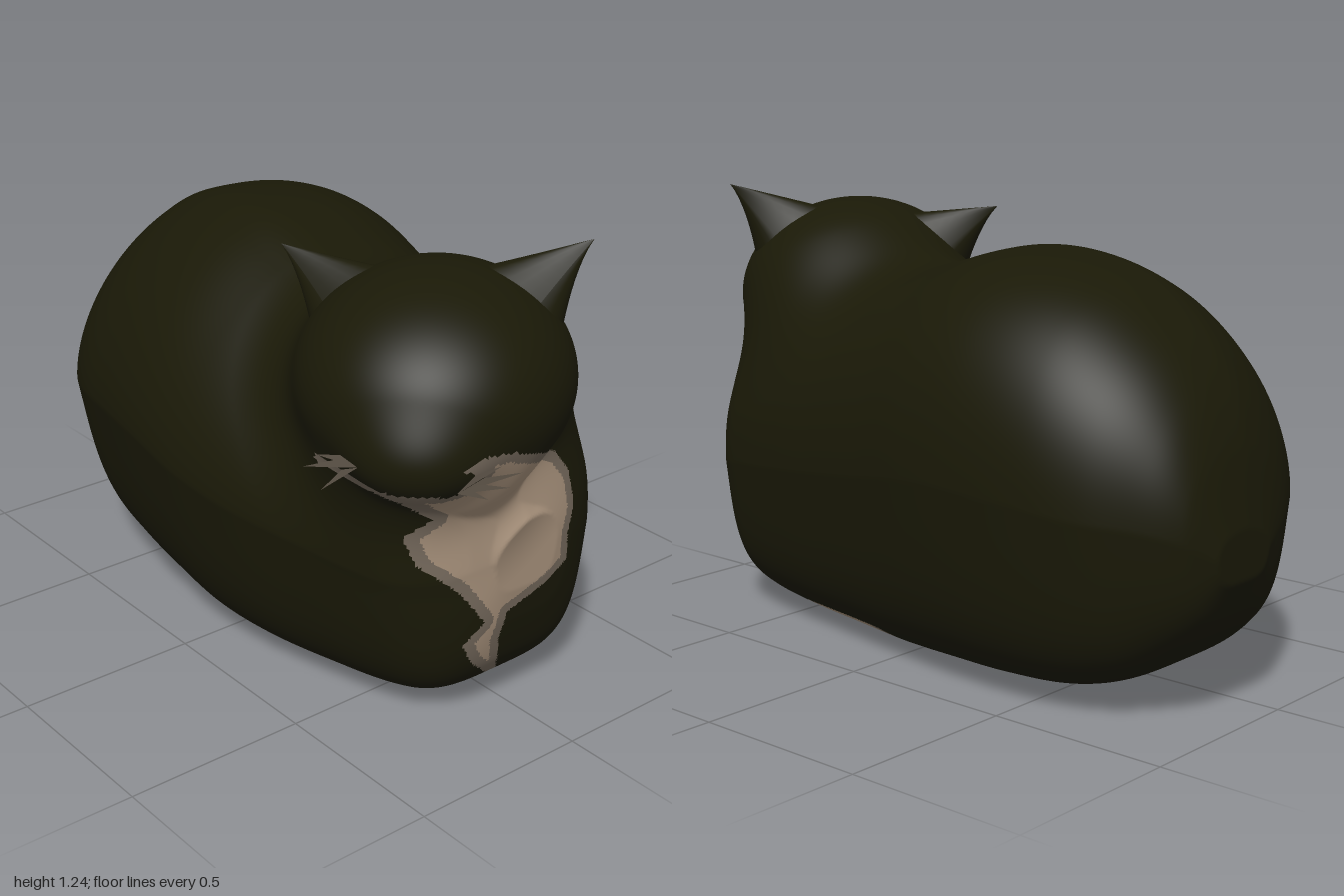
import * as THREE from 'three';
import { mergeVertices } from 'three/addons/utils/BufferGeometryUtils.js';

const mat = (name, color, side = THREE.FrontSide) => {
  const m = new THREE.MeshStandardMaterial({ color, side });
  m.name = name;
  return m;
};

// Body cross-sections along z: [z, xMin, xMax, yMin, yMax]
const SECTIONS = [
  [-1, 0.06, 0.28, 0.37, 0.5], [-0.95, -0.09, 0.36, 0.27, 0.7], [-0.87, -0.23, 0.43, 0.18, 0.85],
  [-0.75, -0.35, 0.5, 0.09, 0.97], [-0.6, -0.43, 0.54, 0.04, 1.06], [-0.4, -0.48, 0.55, 0.02, 1.11],
  [-0.2, -0.51, 0.53, 0.01, 1.11], [0, -0.52, 0.49, 0, 1.06], [0.2, -0.5, 0.45, 0.005, 1.0],
  [0.4, -0.45, 0.41, 0.015, 0.94], [0.6, -0.39, 0.36, 0.035, 0.87], [0.7, -0.34, 0.32, 0.07, 0.81],
  [0.77, -0.26, 0.25, 0.15, 0.74], [0.81, -0.19, 0.16, 0.28, 0.66], [0.825, -0.13, 0.09, 0.38, 0.58],
];
const HEAD = new THREE.Vector3(-0.12, 0.9, 0.58);
const TURN = -0.863;

// Smoothly interpolated section at z
function sectionAt(z) {
  const S = SECTIONS, n = S.length;
  let i = 0;
  while (i < n - 2 && z > S[i + 1][0]) i++;
  const a = S[i], b = S[i + 1], p = S[Math.max(i - 1, 0)], q = S[Math.min(i + 2, n - 1)];
  const h = b[0] - a[0], t = THREE.MathUtils.clamp((z - a[0]) / h, 0, 1);
  return [1, 2, 3, 4].map((k) => {
    const ma = ((b[k] - p[k]) / (b[0] - p[0])) * h, mb = ((q[k] - a[k]) / (q[0] - a[0])) * h;
    const t2 = t * t, t3 = t2 * t;
    return (2 * t3 - 3 * t2 + 1) * a[k] + (t3 - 2 * t2 + t) * ma + (3 * t2 - 2 * t3) * b[k] + (t3 - t2) * mb;
  });
}

// Section shape: square, tapering base; rounded back that slopes more on the right
function bodyField(p) {
  const z = THREE.MathUtils.clamp(p.z, -1, 0.825);
  const [x0, x1, y0, y1] = sectionAt(z);
  const w = (x1 - x0) / 2, h = (y1 - y0) / 2;
  const side = (p.x - (x0 + x1) / 2) / w, v = (p.y - (y0 + y1) / 2) / h;
  const taper = v < 0 ? 1 - (side < 0 ? 0.2 : 0.15) * Math.min(-v, 1) : 1;
  const u = Math.abs(side) / taper;
  const e = v < 0 ? 4.2 : THREE.MathUtils.lerp(1.75, 2.45, THREE.MathUtils.smoothstep(side, -0.3, 0.3));
  const r = Math.pow(Math.pow(u, e) + Math.pow(Math.abs(v), e), 1 / e);
  const d = (r - 1) * Math.min(w, h);
  return p.z === z ? d : Math.max(d, 0) + Math.abs(p.z - z);
}

// Ellipsoid in the turned head's own frame
function headField(p, y, forward, rx, ry, rz) {
  const dx = p.x - HEAD.x, dz = p.z - HEAD.z, c = Math.cos(TURN), s = Math.sin(TURN);
  const lx = c * dx - s * dz, lz = s * dx + c * dz - forward;
  return (Math.hypot(lx / rx, (p.y - y) / ry, lz / rz) - 1) * Math.min(rx, ry, rz);
}

function smoothMin(a, b, k) {
  const h = Math.max(k - Math.abs(a - b), 0) / k;
  return Math.min(a, b) - (h * h * k) / 4;
}

// Skull, muzzle and throat blended into the body
function field(p) {
  let head = smoothMin(headField(p, 0.905, 0, 0.35, 0.285, 0.39), headField(p, 0.82, 0.31, 0.12, 0.09, 0.1), 0.09);
  head = smoothMin(head, headField(p, 0.73, 0.16, 0.2, 0.15, 0.12), 0.08);
  return smoothMin(bodyField(p), head, 0.17);
}

// Chest and cheek patch outline, in x and y
const CHEST_PATCH = [
  [-0.48, 0.76], [-0.4, 0.765], [-0.34, 0.755], [-0.28, 0.77], [-0.265, 0.8], [-0.33, 0.83], [-0.28, 0.855],
  [-0.19, 0.845], [-0.05, 0.79], [0.08, 0.72], [0.14, 0.65], [0.16, 0.55], [0.135, 0.48], [0.14, 0.4], [0.05, 0.36],
  [-0.07, 0.32], [-0.08, 0.24], [-0.05, 0.14], [0.01, 0.05], [0.0, 0.0], [-0.11, 0.0], [-0.11, 0.06], [-0.05, 0.09],
  [-0.15, 0.18], [-0.19, 0.25], [-0.14, 0.31], [-0.22, 0.42], [-0.31, 0.5], [-0.34, 0.58], [-0.3, 0.64], [-0.38, 0.7],
];
// Belly patch outline, in x and z
const BELLY_PATCH = [
  [0.39, 0.28], [0.365, 0.14], [0.3, 0.01], [0.2, 0.1], [0.06, 0.19], [-0.15, 0.16], [-0.34, 0.14], [-0.36, 0.3],
  [-0.27, 0.46], [-0.12, 0.58], [0.0, 0.6], [0.1, 0.5], [0.25, 0.43], [0.36, 0.38],
];

// 0 = outside the outline, 1 = along its edge, 2 = well inside
function patchZone(outline, x, y, edge) {
  let inside = false, near = 1;
  outline.forEach(([ax, ay], i) => {
    const [bx, by] = outline[(i + 1) % outline.length];
    if (ay > y !== by > y && x < ax + ((y - ay) / (by - ay)) * (bx - ax)) inside = !inside;
    const ex = bx - ax, ey = by - ay;
    const t = THREE.MathUtils.clamp(((x - ax) * ex + (y - ay) * ey) / (ex * ex + ey * ey), 0, 1);
    near = Math.min(near, Math.hypot(x - ax - t * ex, y - ay - t * ey));
  });
  return !inside ? 0 : near < edge ? 1 : 2;
}

// 0 = dark coat, 1 = patch border, 2 = pale patch
function coatColour(x, y, z) {
  const belly = y < 0.065 ? patchZone(BELLY_PATCH, x, z, 0.025) : 0;
  return Math.max(belly, z > 0.5 ? patchZone(CHEST_PATCH, x, y, 0.028) : 0);
}

// Body and head as one skin, pushed out from a sphere and split by coat colour
function skinGeometry() {
  let geo = new THREE.IcosahedronGeometry(1, 82);
  geo.deleteAttribute('normal');
  geo.deleteAttribute('uv');
  geo = mergeVertices(geo, 1e-5);
  const pos = geo.attributes.position, origin = new THREE.Vector3(0, 0.52, 0);
  const dir = new THREE.Vector3(), p = new THREE.Vector3();
  for (let i = 0; i < pos.count; i++) {
    dir.fromBufferAttribute(pos, i);
    dir.set(dir.x * 0.5, dir.y * 0.55, dir.z * 0.95);
    let lo = 0, hi = 2.5;
    for (let k = 0; k < 20; k++) {
      const mid = (lo + hi) / 2;
      if (field(p.copy(dir).multiplyScalar(mid).add(origin)) < 0) lo = mid; else hi = mid;
    }
    pos.setXYZ(i, p.x, Math.max(p.y, 0), p.z);
  }
  const lists = [[], [], []], idx = geo.index.array;
  for (let i = 0; i < idx.length; i += 3) {
    const f = [idx[i], idx[i + 1], idx[i + 2]];
    const mean = (get) => f.reduce((s, v) => s + pos[get](v), 0) / 3;
    lists[coatColour(mean('getX'), mean('getY'), mean('getZ'))].push(...f);
  }
  geo.setIndex(lists.flat());
  let start = 0;
  lists.forEach((l, i) => { geo.addGroup(start, l.length, i); start += l.length; });
  geo.computeVertexNormals();
  return geo;
}

// Curved cone with a broad root that flares into the head
function earGeometry(side) {
  const geo = new THREE.CylinderGeometry(0, 1, 1, 24, 10, true);
  const pos = geo.attributes.position;
  for (let i = 0; i < pos.count; i++) {
    const t = pos.getY(i) + 0.5, r = t < 1 ? 1 - t : 1;
    const a = pos.getX(i) / r, b = pos.getZ(i) / r;
    const k = Math.pow(1 - t, a < 0 ? 1.0 : 1.4) * (a < 0 ? 1 : 0.6);
    const x = 0.2 + 0.19 * t + a * 0.17 * k, y = 0.12 + 0.185 * t - a * 0.12 * k;
    pos.setXYZ(i, side * x, y, -0.05 - 0.08 * t + b * 0.12 * Math.pow(1 - t, 1.5));
  }
  geo.computeVertexNormals();
  return geo;
}

// Fan of thin blades from a root towards each tip
function whiskerGeometry(root, tips) {
  const pts = [];
  for (const [x, y, z] of tips) {
    const [rx, ry, rz] = root;
    pts.push(rx, ry - 0.012, rz, x, y, z, rx + (x - rx) * 0.4 - 0.012, ry + (y - ry) * 0.4 + 0.02, rz + (z - rz) * 0.4 + 0.012);
  }
  const geo = new THREE.BufferGeometry();
  geo.setAttribute('position', new THREE.Float32BufferAttribute(pts, 3));
  geo.computeVertexNormals();
  return geo;
}

export function createModel() {
  const coat = mat('darkCoat', 0x1a1907);
  const border = mat('patchBorder', 0x776b5e);
  const pale = mat('palePatch', 0xa8927c);
  const ear = mat('earCoat', 0x1a1907, THREE.DoubleSide);
  const whisker = mat('whisker', 0x857868, THREE.DoubleSide);
  const model = new THREE.Group();
  model.name = 'restingCat';
  const add = (parent, name, geo, m) => {
    const mesh = new THREE.Mesh(geo, m);
    mesh.name = name;
    parent.add(mesh);
  };

  add(model, 'bodyAndHead', skinGeometry(), [coat, border, pale]);

  const ears = new THREE.Group();
  ears.name = 'ears';
  ears.position.copy(HEAD);
  ears.rotation.set(0, TURN, 0.08);
  add(ears, 'leftEar', earGeometry(1), ear);
  add(ears, 'rightEar', earGeometry(-1), ear);
  model.add(ears);

  add(model, 'rightWhiskers', whiskerGeometry([-0.49, 0.83, 0.73],
    [[-0.55, 0.79, 0.6], [-0.52, 0.73, 0.63], [-0.55, 0.84, 0.65]]), whisker);
  add(model, 'leftWhiskers', whiskerGeometry([-0.36, 0.8, 0.93],
    [[-0.21, 0.82, 0.99], [-0.27, 0.85, 0.98], [-0.3, 0.77, 0.97], [-0.26, 0.8, 1.0]]), whisker);
  return model;
}
